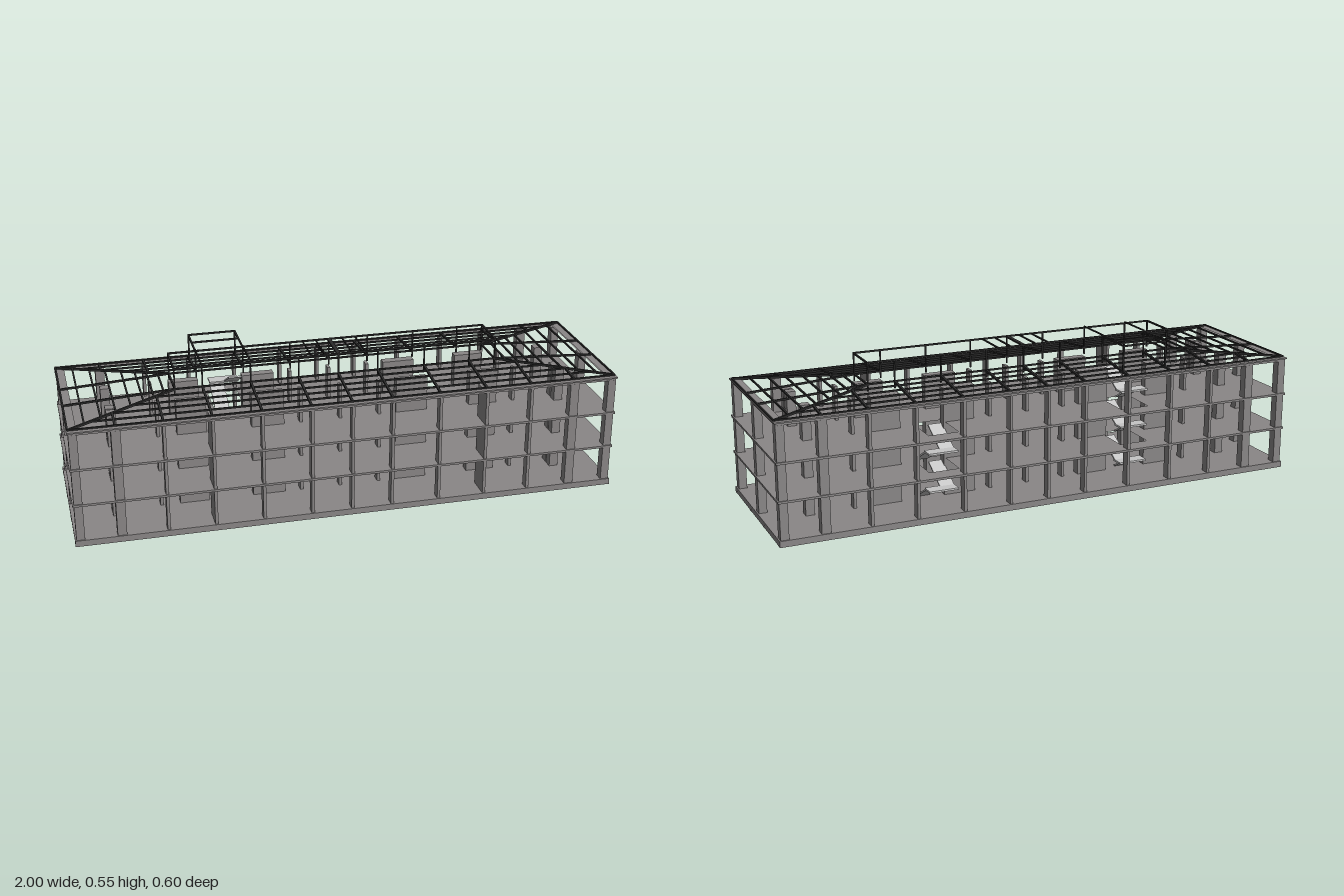
import * as THREE from 'three';

export function createModel() {
  const model = new THREE.Group();
  const mat = (name, color) => Object.assign(new THREE.MeshStandardMaterial({ color }), { name });
  const concrete = mat('concrete grey', 0x8a8787);
  const stairGrey = mat('light stair grey', 0xc6c6c6);
  const steel = mat('dark steel', 0x2a2a2a);

  const group = (name) => {
    const g = new THREE.Group();
    g.name = name;
    model.add(g);
    return g;
  };
  // Box given by its limits on each axis
  const box = (parent, name, m, x0, x1, y0, y1, z0, z1) => {
    const mesh = new THREE.Mesh(new THREE.BoxGeometry(x1 - x0, y1 - y0, z1 - z0), m);
    mesh.position.set((x0 + x1) / 2, (y0 + y1) / 2, (z0 + z1) / 2);
    mesh.name = name;
    parent.add(mesh);
  };
  // Rectangular bar running from a to b
  const bar = (parent, name, m, a, b, w = 0.007, h = w) => {
    const p = new THREE.Vector3(...a), q = new THREE.Vector3(...b);
    const mesh = new THREE.Mesh(new THREE.BoxGeometry(w, h, p.distanceTo(q)), m);
    mesh.position.copy(p).add(q).multiplyScalar(0.5);
    mesh.lookAt(q);
    mesh.name = name;
    parent.add(mesh);
  };
  // Rectangular plate with rectangular holes; each rectangle is [x0, x1, z0, z1]
  const plate = (parent, name, outer, holes, y0, y1) => {
    const trace = (path, [x0, x1, z0, z1]) => {
      path.moveTo(x0, -z0); path.lineTo(x1, -z0); path.lineTo(x1, -z1); path.lineTo(x0, -z1);
      path.closePath();
      return path;
    };
    const shape = trace(new THREE.Shape(), outer);
    shape.holes = holes.map((r) => trace(new THREE.Path(), r));
    const geo = new THREE.ExtrudeGeometry(shape, { depth: y1 - y0, bevelEnabled: false });
    const mesh = new THREE.Mesh(geo.rotateX(-Math.PI / 2), concrete);
    mesh.position.y = y0;
    mesh.name = name;
    parent.add(mesh);
  };

  const gridX = [-0.835, -0.67, -0.5, -0.325, -0.148, 0, 0.148, 0.325, 0.5, 0.67, 0.835];
  const signs = [-1, 1];

  // Foundation: slab on a grid of ribs
  const foundation = group('foundation');
  box(foundation, 'groundSlab', concrete, -1, 1, 0.012, 0.023, -0.3, 0.3);
  for (const z of [-0.288, -0.09, 0.09, 0.288])
    box(foundation, 'longRib', concrete, -1, 1, 0, 0.012, z - 0.012, z + 0.012);
  for (const x of [-0.988, ...gridX, 0.988])
    box(foundation, 'crossRib', concrete, x - 0.011, x + 0.011, 0, 0.0121, -0.299, 0.299);

  // Upper floors with stair openings
  const floors = group('floors');
  const wells = signs.map((s) => [s * 0.38 - 0.056, s * 0.38 + 0.056, -0.232, -0.076]);
  for (const y of [0.155, 0.291]) plate(floors, 'floorSlab', [-1, 1, -0.3, 0.3], wells, y, y + 0.008);

  // Ring beam under the eaves
  plate(floors, 'ringBeam', [-0.995, 0.995, -0.295, 0.295], [[-0.965, 0.965, -0.265, 0.265]], 0.425, 0.433);
  plate(floors, 'eavesPlate', [-1, 1, -0.3, 0.3], [[-0.965, 0.965, -0.265, 0.265]], 0.433, 0.438);

  // Columns on the long sides, corridor rows, and ends
  const columns = group('columns');
  const column = (name, x, z, w, d = 0.033) =>
    box(columns, name, concrete, x - w / 2, x + w / 2, 0.022, 0.426, z - d / 2, z + d / 2);
  for (const s of signs) {
    for (const x of gridX) {
      const w = Math.abs(x) > 0.8 ? 0.033 : 0.011;
      column('facadeColumn', x, s * 0.279, w);
      column('corridorColumn', x, s * 0.09, w);
    }
    for (const z of [-0.279, 0, 0.279]) column('endColumn', s * 0.98, z, 0.03);
    column('innerColumn', s * 0.835, 0.13, 0.033);
    column('crossWall', s * 0.5, 0.234, 0.011, 0.057);
    // Bracing walls either side of the stairs
    for (const z of [-0.09, 0.09]) {
      column('braceWall', s * 0.55, z, 0.105);
      column('braceWall', s * 0.267, z, 0.112);
    }
  }

  // Stairs: lower flight, landing, upper flight for each storey
  const stairs = group('stairs');
  const stair = (s, base) => {
    const inner = s * 0.353, outer = s * 0.408;
    bar(stairs, 'lowerFlight', stairGrey, [outer, base + 0.002, -0.08], [outer, base + 0.062, -0.188], 0.054, 0.006);
    box(stairs, 'landing', stairGrey, s * 0.38 - 0.055, s * 0.38 + 0.055, base + 0.06, base + 0.067, -0.23, -0.181);
    bar(stairs, 'upperFlight', stairGrey, [inner, base + 0.064, -0.188], [inner, base + 0.124, -0.078], 0.054, 0.006);
  };
  for (const base of [0.023, 0.163, 0.299]) stair(-1, base);
  for (const base of [0.023, 0.163]) stair(1, base);

  // Hipped roof frame; t runs from the eaves (0) to the top (1)
  const roof = group('roofFrame');
  const rx = (t) => 1 - 0.4 * t - 0.005 * (1 - t);
  const rz = (t) => 0.28 - 0.207 * t;
  const ry = (t) => 0.44 + 0.023 * t;
  for (const s of signs) {
    for (const t of [0, 0.2, 0.4, 0.6, 0.8, 1])
      bar(roof, 'longPurlin', steel, [-rx(t), ry(t), s * rz(t)], [rx(t), ry(t), s * rz(t)], 0.006);
    for (const t of [0, 0.15, 0.3, 0.44, 0.58, 0.7, 0.8, 0.9, 1])
      bar(roof, 'endPurlin', steel, [s * rx(t), ry(t), -rz(t)], [s * rx(t), ry(t), rz(t)], 0.006);
    for (const e of signs) {
      bar(roof, 'hipRafter', steel, [e * rx(0), ry(0), s * rz(0)], [e * rx(1), ry(1), s * rz(1)], 0.008);
      bar(roof, 'endRafter', steel, [e * rx(0), ry(0), s * rz(1)], [e * rx(1), ry(1), s * rz(1)], 0.007);
    }
    for (const x of gridX) {
      const t = Math.min(1, (1 - Math.abs(x)) / 0.4);
      bar(roof, 'rafter', steel, [x, ry(0), s * rz(0)], [x, ry(t), s * rz(t)], 0.008);
    }
  }

  // Raised ridge frame
  const ridge = group('ridgeFrame');
  const top = 0.541;
  for (const s of signs) {
    bar(ridge, 'ridgeRail', steel, [-0.603, top, s * 0.075], [0.603, top, s * 0.075], 0.006);
    bar(ridge, 'ridgeEnd', steel, [s * 0.6, top, -0.075], [s * 0.6, top, 0.075], 0.006);
    for (const x of [-0.6, -0.5, -0.325, -0.148, 0, 0.148, 0.325, 0.5, 0.6])
      bar(ridge, 'ridgePost', steel, [x, 0.438, s * 0.075], [x, top, s * 0.075], 0.005);
  }
  for (const x of [-0.1, -0.05, 0, 0.05, 0.1])
    bar(ridge, 'ridgeCrossbar', steel, [x, top, -0.075], [x, top, 0.075], x === 0 ? 0.014 : 0.004, 0.006);

  // Roof access frame over the taller stair
  const access = group('roofAccessFrame');
  for (const x of [-0.5, -0.325]) {
    bar(access, 'accessPost', steel, [x, 0.438, -0.239], [x, top, -0.239], 0.006);
    bar(access, 'accessRail', steel, [x, top, -0.242], [x, top, -0.075], 0.006);
    bar(access, 'accessCap', steel, [x, 0.546, -0.075], [x, 0.546, 0.075], 0.005);
  }
  for (const z of [-0.239, -0.16, -0.075])
    bar(access, 'accessCrossbar', steel, [-0.5, top, z], [-0.325, top, z], 0.006);

  return model;
}
